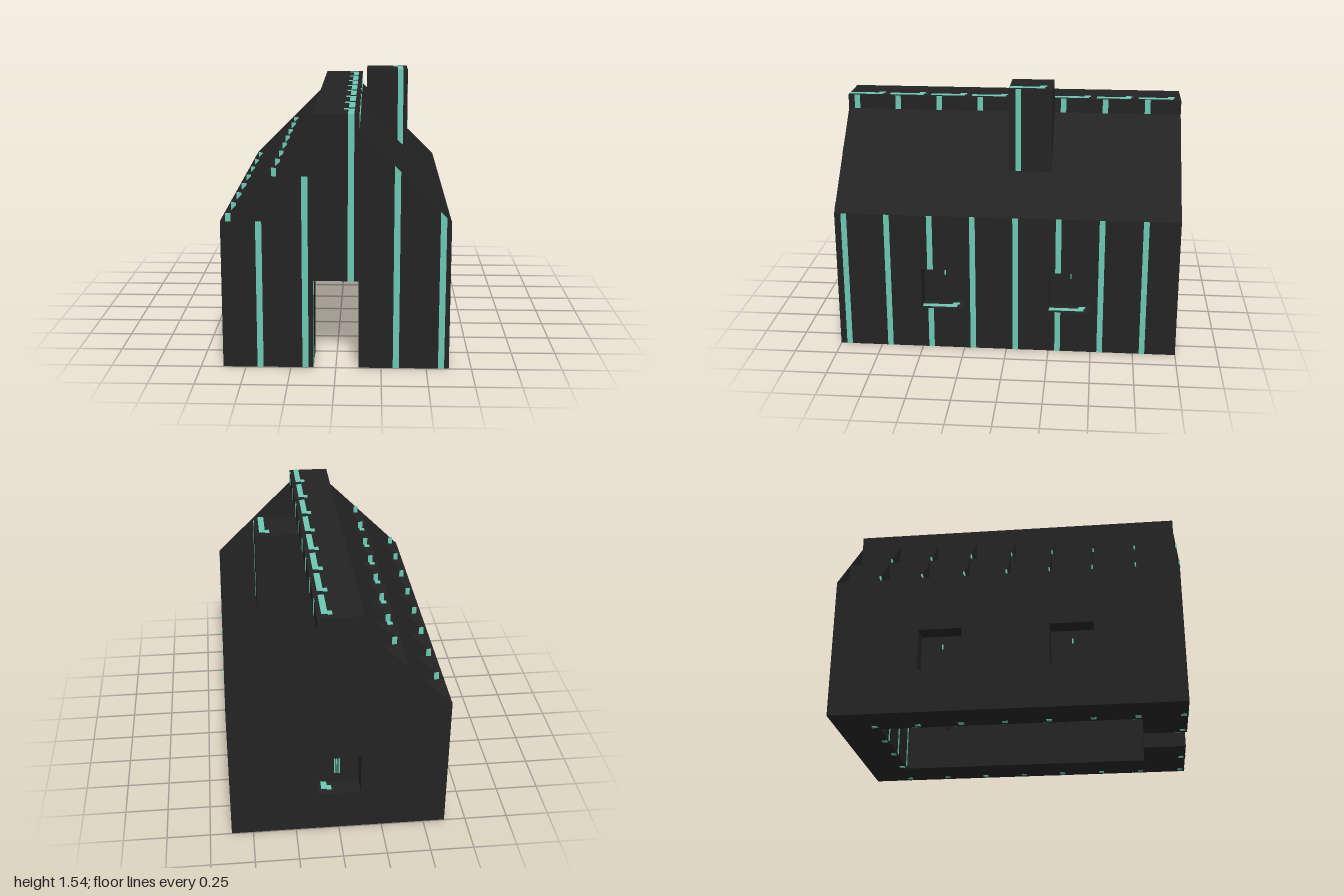
import * as THREE from 'three';

const C = 0.25;            // building cell
const EAVE = 0.833, MID = 1.083, TOP = 1.333, RIDGE = 1.417;
const T = 0.004;           // thickness of painted plates

export function createModel() {
  const charcoal = new THREE.MeshStandardMaterial({ color: 0x232323 });
  charcoal.name = 'charcoal';
  const charcoalSheet = new THREE.MeshStandardMaterial({ color: 0x232323, side: THREE.DoubleSide });
  charcoalSheet.name = 'charcoal sheet';
  const teal = new THREE.MeshStandardMaterial({ color: 0x6bc8b3, side: THREE.DoubleSide });
  teal.name = 'teal';

  const house = new THREE.Group();
  house.name = 'house';

  const add = (name, geo, mat) => {
    const m = new THREE.Mesh(geo, mat);
    m.name = name;
    house.add(m);
    return m;
  };
  // box given by its limits
  const box = (name, x0, x1, y0, y1, z0, z1, mat = charcoal) => {
    const m = add(name, new THREE.BoxGeometry(x1 - x0, y1 - y0, z1 - z0), mat);
    m.position.set((x0 + x1) / 2, (y0 + y1) / 2, (z0 + z1) / 2);
    return m;
  };
  const poly = (pts) => new THREE.Shape(pts.map(([x, y]) => new THREE.Vector2(x, y)));
  const rect = (x0, x1, y0, y1) => poly([[x0, y0], [x1, y0], [x1, y1], [x0, y1]]);
  const extrude = (shape, depth) => new THREE.ExtrudeGeometry(shape, { depth, bevelEnabled: false });

  // Gable walls: stepped on the left, sloped on the right
  const upper = [[0.625, 0], [0.625, EAVE], [0.125, TOP], [0.125, RIDGE], [-0.125, RIDGE],
    [-0.125, MID], [-0.375, MID], [-0.375, EAVE], [-0.625, EAVE], [-0.625, 0]];
  const door = [[-0.125, 0], [-0.125, 0.5], [0.125, 0.5], [0.125, 0]];
  add('frontGable', extrude(poly([...upper, ...door]), C), charcoal).position.z = 0.75;
  const backShape = poly(upper);
  backShape.holes.push(rect(-0.125, 0.125, 0.25, 0.5));
  add('backGable', extrude(backShape, C), charcoal).position.z = -1;

  // Long side walls with two windows each
  for (const [name, x0] of [['leftWall', 0.375], ['rightWall', -0.625]]) {
    const s = rect(-0.75, 0.75, 0, EAVE);
    s.holes.push(rect(-0.5, -0.25, 0.25, 0.5), rect(0.25, 0.5, 0.25, 0.5));
    const g = extrude(s, C);
    g.rotateY(Math.PI / 2);
    add(name, g, charcoal).position.x = x0;
    for (const z0 of [-0.5, 0.25]) {
      box('windowPane', x0 + 0.11, x0 + 0.14, 0.25, 0.5, z0, z0 + C);
    }
  }
  box('backWindowPane', -0.125, 0.125, 0.25, 0.5, -0.89, -0.86);

  // Closed roof slope and ridge
  const wedge = (x, y) => poly([[x, y], [x + C, y], [x, y + C]]);
  for (const [x, y] of [[0.375, EAVE], [0.125, MID]]) {
    add('roofSlope', extrude(wedge(x, y), 1.5), charcoal).position.z = -0.75;
  }
  box('ridge', -0.125, 0.125, TOP, RIDGE, -0.75, 0.75);

  // Open roof side: rows of pockets between triangular partitions
  for (const [x, y] of [[-0.375, EAVE], [-0.125, MID]]) {
    const back = add('pocketBack', new THREE.PlaneGeometry(1.5, C), charcoalSheet);
    back.rotation.y = -Math.PI / 2;
    back.position.set(x, y + C / 2, 0);
    const tri = new THREE.ShapeGeometry(poly([[x - C, y], [x, y], [x, y + C]]));
    for (let i = 0; i <= 8; i++) {
      const z = -1 + i * C;
      add('roofPartition', tri, charcoalSheet).position.z = z;
      if (i > 0) box('partitionMark', x - 0.22, x - 0.192, y, y + 0.045, z - T, z + T, teal);
    }
  }
  const shelf = add('pocketFloor', new THREE.PlaneGeometry(C, 1.5), charcoalSheet);
  shelf.rotation.x = -Math.PI / 2;
  shelf.position.set(-0.25, MID, 0);

  // Chimney
  box('chimney', 0.16, 0.41, 1.04, 1.54, -0.25, 0);

  // Painted stripes: on faces looking to +x, to +z, and hooks on level tops
  const sideStripe = (x, z0, y0, y1) =>
    box('sideStripe', x - T, x + T / 2, y0, y1, z0 + 0.18, z0 + 0.213, teal);
  const frontStripe = (z, x0, y0, yL, yR = yL) => {
    const a = x0 + 0.19, b = x0 + 0.224;
    add('frontStripe', new THREE.ShapeGeometry(poly([[a, y0], [b, y0], [b, yR], [a, yL]])), teal)
      .position.z = z + T / 2;
  };
  const topHook = (x0, y, z0) => {
    box('topStripe', x0 + 0.19, x0 + 0.224, y - T, y + T / 2, z0 + 0.045, z0 + C, teal);
    box('topHook', x0 + 0.165, x0 + 0.19, y - T, y + T / 2, z0 + 0.035, z0 + 0.075, teal);
  };
  const baseDot = (x, y, z) =>
    box('baseDot', x - 0.016, x + 0.016, y - T / 2, y + T / 2, z - 0.016, z + 0.016, teal);

  for (let i = 0; i < 8; i++) {
    const z0 = -1 + i * C;
    const inner = i > 0 && i < 7;
    const win = i === 2 || i === 5;
    const spans = win ? [[0, 0.25], [0.5, EAVE]] : [[0, EAVE]];
    for (const [a, b] of spans) {
      sideStripe(0.625, z0, a, b);
      if (inner) sideStripe(-0.375, z0, a, b);
    }
    sideStripe(0.125, z0, TOP, RIDGE);
    topHook(-0.625, EAVE, z0);
    topHook(-0.125, RIDGE, z0);
    if (inner) {
      baseDot(-0.34, MID, z0 + 0.225);
      baseDot(0.34, MID, z0 + 0.225);
    } else {
      topHook(-0.375, MID, z0);
    }
    // window sills and jambs
    if (win) {
      for (const x0 of [0.375, -0.625]) {
        topHook(x0, 0.25, z0);
        frontStripe(z0, x0, 0.25, 0.5);
        box('paneMark', x0 + 0.108, x0 + 0.142, 0.42, 0.45, z0 + 0.12, z0 + 0.127, teal);
      }
    }
    // marks under the walls
    for (let j = 0; j < 5; j++) {
      const edge = j === 0 || j === 4 || !inner;
      if (edge && !(i === 7 && j === 2)) baseDot(-0.625 + j * C + 0.21, 0, z0 + 0.225);
    }
  }

  // Gable stripes, outside front and inside back
  const slope = (x) => 1.458 - x;
  frontStripe(1, -0.625, 0, EAVE);
  frontStripe(1, -0.375, 0, MID);
  frontStripe(1, -0.125, 0.5, RIDGE);
  for (const x0 of [0.125, 0.375]) frontStripe(1, x0, 0, slope(x0 + 0.19), slope(x0 + 0.224));
  frontStripe(-0.75, -0.375, 0, MID);
  frontStripe(-0.75, -0.125, 0, 0.25);
  frontStripe(-0.75, -0.125, 0.5, TOP);
  frontStripe(-0.75, 0.125, 0, MID);

  // Door jamb, back window and chimney marks
  sideStripe(-0.125, 0.75, 0, 0.5);
  sideStripe(-0.125, -1, 0.25, 0.5);
  topHook(-0.125, 0.25, -1);
  for (let i = 0; i < 4; i++) {
    const x = -0.017 + i * 0.01;
    box('paneLine', x, x + 0.006, 0.31, 0.42 + i * 0.01, -0.892, -0.858, teal);
  }
  sideStripe(0.41, -0.25, 1.05, 1.54);
  frontStripe(0, 0.16, 1.05, 1.54);
  topHook(0.16, 1.54, -0.25);

  return house;
}
